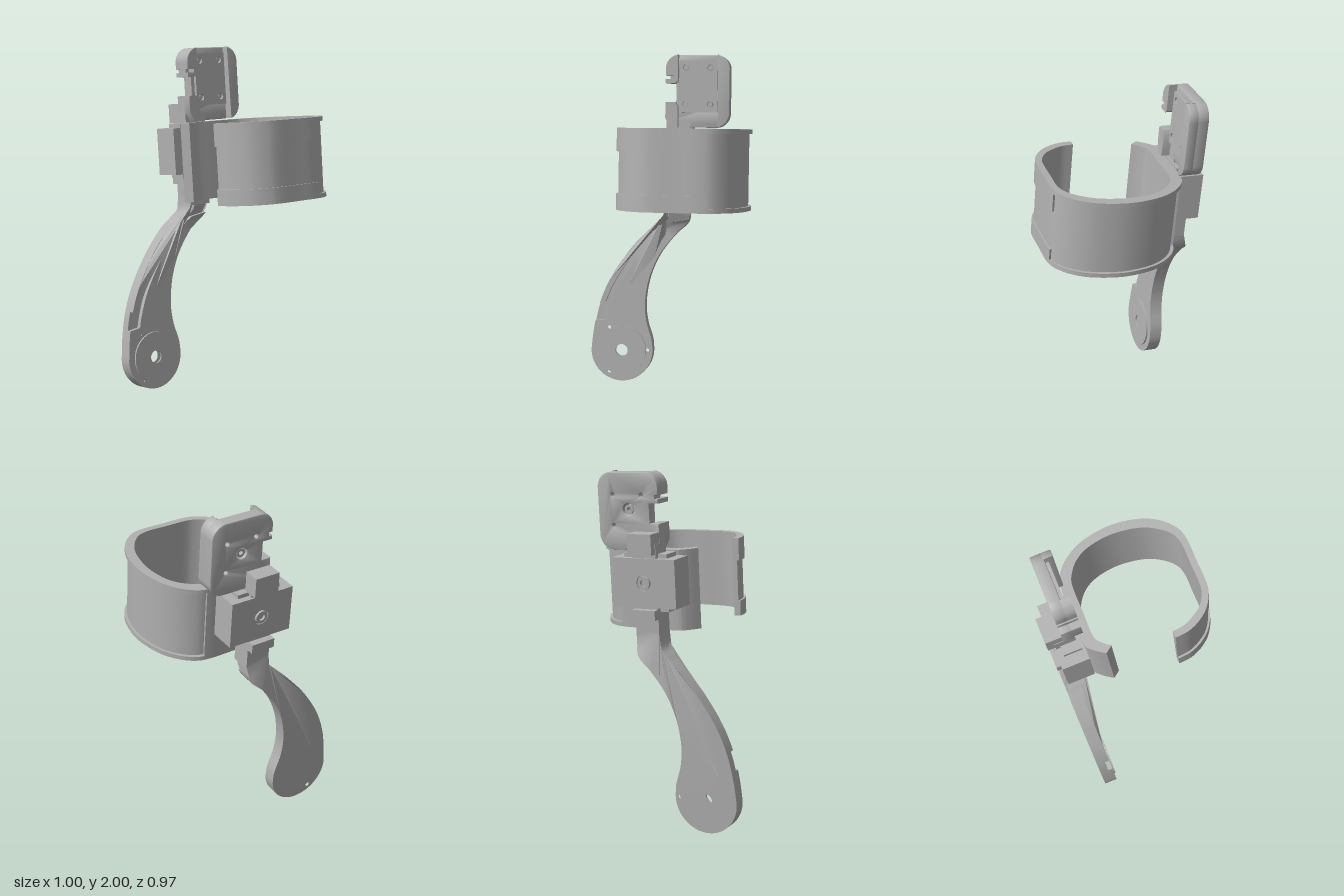
import * as THREE from 'three';
import { toCreasedNormals } from 'three/addons/utils/BufferGeometryUtils.js';

const V = (x, y) => new THREE.Vector2(x, y);
const grey = new THREE.MeshStandardMaterial({ color: 0xb0b0b0 });
grey.name = 'plain grey';

export function createModel() {
  const root = new THREE.Group();
  root.name = 'cuffBrace';
  const body = new THREE.Group();
  body.name = 'tiltedAssembly';
  body.rotation.x = -0.0872;
  root.add(body);

  const add = (name, geo, parent = body) => {
    const mesh = new THREE.Mesh(toCreasedNormals(geo, 0.6), grey);
    mesh.name = name;
    parent.add(mesh);
    return mesh;
  };
  // Front-facing outline given thickness from z0 to z1
  const slab = (shape, z0, z1, bevel = 0) => {
    const g = new THREE.ExtrudeGeometry(shape, {
      depth: z1 - z0 - 2 * bevel, curveSegments: 24, bevelEnabled: bevel > 0,
      bevelThickness: bevel, bevelSize: bevel, bevelOffset: -bevel, bevelSegments: 2,
    });
    return g.translate(0, 0, z0 + bevel);
  };
  const box = (x0, x1, y0, y1, z0, z1) =>
    new THREE.BoxGeometry(x1 - x0, y1 - y0, z1 - z0).translate((x0 + x1) / 2, (y0 + y1) / 2, (z0 + z1) / 2);
  const hole = (shape, x, y, r) => {
    const p = new THREE.Path();
    p.absarc(x, y, r, 0, Math.PI * 2, true);
    shape.holes.push(p);
  };
  const rect = (x0, x1, y0, y1) => new THREE.Shape([V(x0, y0), V(x1, y0), V(x1, y1), V(x0, y1)]);
  const ring = (x, y, r0, r1) => {
    const s = new THREE.Shape();
    s.absarc(x, y, r1, 0, Math.PI * 2);
    if (r0) hole(s, x, y, r0);
    return s;
  };

  // ---- Open cuff: paired outer and inner plan points (x, z) ----
  const plan = [
    [-0.245, 0.315, -0.205, 0.315], [-0.238, 0.39, -0.198, 0.38], [-0.21, 0.46, -0.172, 0.44],
    [-0.16, 0.525, -0.13, 0.5], [-0.09, 0.57, -0.07, 0.537], [-0.02, 0.587, -0.01, 0.55],
    [0.12, 0.587, 0.12, 0.55], [0.25, 0.587, 0.24, 0.55], [0.335, 0.565, 0.315, 0.525],
    [0.42, 0.49, 0.38, 0.455], [0.475, 0.38, 0.425, 0.36], [0.5, 0.22, 0.446, 0.215],
    [0.475, 0.06, 0.428, 0.08], [0.42, -0.05, 0.382, -0.01], [0.34, -0.125, 0.31, -0.068],
    [0.25, -0.15, 0.24, -0.087], [0.08, -0.15, 0.08, -0.087], [-0.08, -0.15, -0.06, -0.087],
    [-0.135, -0.115, -0.11, -0.06], [-0.18, -0.055, -0.15, -0.015],
  ];
  const outer = new THREE.SplineCurve(plan.map(p => V(p[0], -p[1])));
  const inner = new THREE.SplineCurve(plan.map(p => V(p[2], -p[3])));
  const last = plan.length - 1;
  const cuff = new THREE.Group();
  cuff.name = 'cuff';
  body.add(cuff);
  // Wall layer between depth fractions k0 and k1 along part of the plan
  const band = (name, i0, i1, y0, y1, k0, k1) => {
    const n = Math.ceil((i1 - i0) * 5), a = [], b = [];
    for (let i = 0; i <= n; i++) {
      const t = (i0 + (i1 - i0) * i / n) / last;
      const p = inner.getPoint(t), q = outer.getPoint(t);
      a.push(p.clone().lerp(q, k0));
      b.push(p.clone().lerp(q, k1));
    }
    const shape = new THREE.Shape([...a, ...b.reverse()]);
    add(name, slab(shape, y0, y1).rotateX(-Math.PI / 2), cuff);
  };
  const low = 1.135, high = 1.59, k = 0.7;
  band('cuffWall', 0, last, low, high, 0, k);
  band('frontUpperBand', 0, 7.4, 1.46, high, k, 1);
  band('frontLowerBand', 0, 7.4, low, 1.225, k, 1);
  band('sideUpperRim', 7.4, 14.7, high - 0.025, high, k, 1);
  band('sideLowerRim', 7.4, 14.7, low, low + 0.025, k, 1);
  band('backPad', 14.7, last, low, high, k, 1);

  // ---- Curved arm ----
  const hub = V(-0.315, 0.227), hubR = 0.19;
  const leftEdge = new THREE.SplineCurve([
    V(-0.505, 0.23), V(-0.49, 0.36), V(-0.46, 0.5), V(-0.4, 0.65), V(-0.3, 0.81),
    V(-0.2, 0.93), V(-0.1, 1.025), V(-0.055, 1.075), V(-0.045, 1.15)]).getSpacedPoints(48);
  const rightEdge = new THREE.SplineCurve([
    V(-0.125, 0.23), V(-0.132, 0.3), V(-0.165, 0.41), V(-0.175, 0.53), V(-0.15, 0.68),
    V(-0.09, 0.82), V(0, 0.94), V(0.06, 0.995), V(0.092, 1.04), V(0.1, 1.15)]).getSpacedPoints(48);
  const inset = (pts, d) => pts.map((p, i) => {
    const t = pts[Math.min(i + 1, pts.length - 1)].clone().sub(pts[Math.max(i - 1, 0)]).normalize();
    return V(p.x + t.y * d, p.y - t.x * d);
  });
  const hubArc = [];
  for (let i = 1; i < 32; i++) {
    const a = Math.PI + Math.PI * i / 32;
    hubArc.push(V(hub.x + hubR * Math.cos(a), hub.y + hubR * Math.sin(a)));
  }
  const drill = s => {
    hole(s, hub.x, hub.y, 0.038);
    [[-0.395, 0.365], [-0.157, 0.23], [-0.395, 0.09]].forEach(([x, y]) => hole(s, x, y, 0.012));
    return s;
  };
  // Shift the arm forward where it meets the upright
  const jog = g => {
    const p = g.attributes.position;
    for (let i = 0; i < p.count; i++) {
      const s = THREE.MathUtils.smoothstep(p.getY(i), 0.97, 1.1);
      p.setZ(i, p.getZ(i) + s * (p.getZ(i) > -0.3 ? 0.083 : 0.04));
    }
    return g;
  };
  const rightDown = [...rightEdge].reverse();
  add('armBack', jog(slab(drill(new THREE.Shape([...leftEdge, ...rightDown, ...hubArc.slice().reverse()])), -0.335, -0.286)));
  // Front layer leaves a groove beside the left lip
  const from = leftEdge.findIndex(p => p.y > 0.42);
  const grooveSide = inset(leftEdge, 0.068).slice(from);
  const frontLeft = [...leftEdge.slice(0, from), ...grooveSide.filter(p => p.y < 1.06)];
  const frontRight = rightDown.filter(p => p.y < 1.06);
  add('armFront', jog(slab(drill(new THREE.Shape([...frontLeft, ...frontRight, ...hubArc.slice().reverse()])), -0.286, -0.26)));
  const lipFrom = leftEdge.findIndex(p => p.y > 0.5);
  const lipIn = inset(leftEdge, 0.032).slice(lipFrom + 1).reverse();
  add('armLip', jog(slab(new THREE.Shape([...leftEdge.slice(lipFrom), ...lipIn]), -0.286, -0.26)));
  add('hubDisc', slab(ring(hub.x, hub.y, 0.038, 0.15), -0.26, -0.25));

  // ---- Upright, clamp block and tabs ----
  add('upright', box(-0.045, 0.1, 1.1, 1.64, -0.295, -0.177));
  add('lowerTab', box(-0.045, 0.1, 1.225, 1.28, -0.335, -0.2));
  add('lowerSpacer', box(-0.1, 0.17, 1.265, 1.3, -0.27, -0.165));
  add('upperTab', box(-0.042, 0.108, 1.585, 1.7, -0.337, -0.2));
  add('upperSpacer', box(-0.1, 0.17, 1.55, 1.585, -0.27, -0.165));
  const block = rect(-0.164, 0.228, 1.29, 1.562);
  hole(block, 0.032, 1.426, 0.045);
  add('clampBlock', slab(block, -0.305, -0.148));
  add('clampScrew', slab(ring(0.032, 1.426, 0.02, 0.037), -0.31, -0.2));
  add('clampScrewSocket', slab(ring(0.032, 1.426, 0, 0.03), -0.28, -0.19));

  // ---- Head: rounded square with a clip notch on its right ----
  const x0 = -0.045, x1 = 0.335, y0 = 1.595, y1 = 2.024, r = 0.085;
  const headShape = () => {
    const s = new THREE.Shape();
    s.moveTo(x0 + 0.03, y0);
    s.lineTo(x1 - r, y0);
    s.absarc(x1 - r, y0 + r, r, -Math.PI / 2, 0);
    s.absarc(x1 - r, y1 - r, r, 0, Math.PI / 2);
    s.absarc(x0 + r, y1 - r, r, Math.PI / 2, Math.PI);
    [[x0, 1.9], [x0 + 0.02, 1.9], [x0 + 0.02, 1.88], [x0, 1.88], [x0, 1.855], [0.012, 1.855],
      [0.012, 1.745], [x0, 1.745], [x0, y0 + 0.03]].forEach(p => s.lineTo(...p));
    return s;
  };
  const back = headShape();
  hole(back, 0.145, 1.82, 0.033);
  [[0.06, 1.9], [0.24, 1.9], [0.24, 1.73]].forEach(([x, y]) => hole(back, x, y, 0.012));
  add('headBack', slab(back, -0.245, -0.178, 0.006));

  // Side cheeks standing forward of the head
  const right = new THREE.Shape();
  right.moveTo(0.268, y0);
  right.absarc(x1 - r, y0 + r, r, -1.36, 0);
  right.absarc(x1 - r, y1 - r, r, 0, 1.36);
  right.lineTo(0.268, y1);
  add('leftCheek', slab(right, -0.186, -0.13, 0.004));
  const upper = new THREE.Shape();
  upper.moveTo(0.028, y1 - 0.002);
  upper.absarc(x0 + r, y1 - r, r, 1.72, Math.PI);
  [[x0, 1.9], [0, 1.9], [0, 1.88], [x0, 1.88], [x0, 1.855], [0.012, 1.855], [0.028, 1.87]].forEach(p => upper.lineTo(...p));
  add('upperJaw', slab(upper, -0.186, -0.13));
  add('lowerJaw', slab(new THREE.Shape([V(x0, 1.745), V(x0, 1.65), V(-0.015, y0), V(0.028, y0), V(0.028, 1.72), V(0.012, 1.745)]), -0.186, -0.13));

  // Mounting plate with four screw holes and a rear screw
  const plate = rect(0.036, 0.26, 1.685, 1.99);
  const corners = [[0.072, 1.948], [0.218, 1.948], [0.072, 1.732], [0.218, 1.732]];
  corners.forEach(([x, y]) => hole(plate, x, y, 0.019));
  add('mountPlate', slab(plate, -0.18, -0.16));
  corners.forEach(([x, y], i) => add('plateScrew' + (i + 1), slab(ring(x, y, 0, 0.013), -0.18, -0.166)));
  add('rearScrew', slab(ring(0.145, 1.82, 0.012, 0.026), -0.235, -0.18));
  return root;
}
